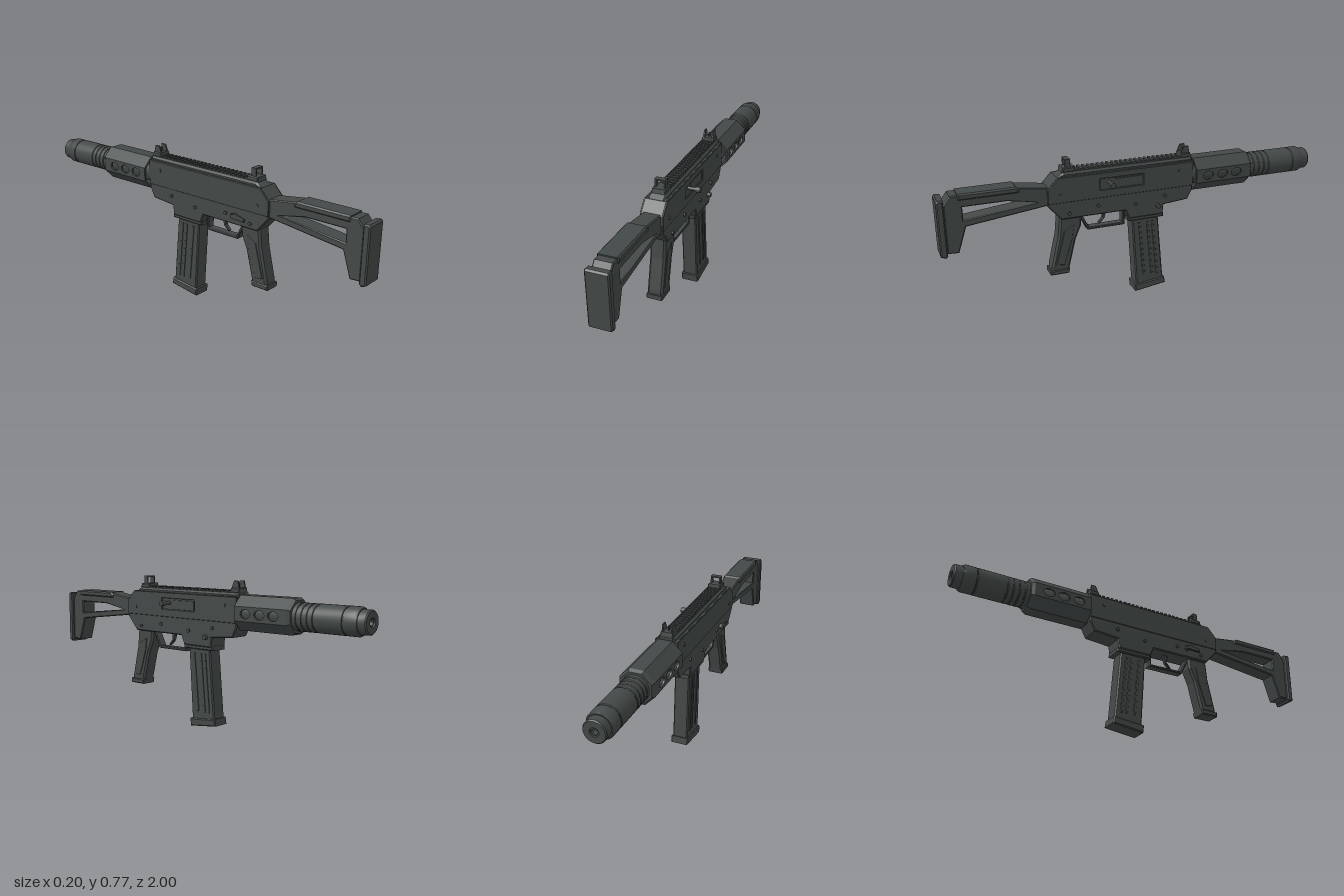
import * as THREE from 'three';
import { toCreasedNormals } from 'three/addons/utils/BufferGeometryUtils.js';

export function createModel() {
  const model = new THREE.Group();
  model.name = 'toyCarbine';
  model.position.x = -0.0155;
  const metal = new THREE.MeshStandardMaterial({ color: 0x434948 });
  metal.name = 'darkGreyMetal';

  const add = (name, geometry, parent = model) => {
    const mesh = new THREE.Mesh(geometry, metal);
    mesh.name = name;
    parent.add(mesh);
    return mesh;
  };
  const toPath = (pts, Type) => new Type(pts.map(([z, y]) => new THREE.Vector2(z, y)));
  // side outline of [z, y] points, thickened in x around the given offset
  function slab(name, pts, half, bevel = 0.006, x = 0, holes = [], parent = model) {
    const shape = toPath(pts, THREE.Shape);
    shape.holes = holes;
    const geo = new THREE.ExtrudeGeometry(shape, {
      depth: 2 * (half - bevel), bevelEnabled: bevel > 0, bevelThickness: bevel,
      bevelSize: bevel, bevelOffset: -bevel, bevelSegments: 1, curveSegments: 16,
    });
    geo.translate(0, 0, -(half - bevel)).rotateY(-Math.PI / 2).translate(x, 0, 0);
    return add(name, geo, parent);
  }
  const box = (name, w, h, d, x, y, z, parent) =>
    add(name, new THREE.BoxGeometry(w, h, d).translate(x, y, z), parent);
  // round pin pointing along x
  const pin = (name, r, x0, x1, y, z, sides = 16) =>
    add(name, new THREE.CylinderGeometry(r, r, Math.abs(x1 - x0), sides)
      .rotateZ(Math.PI / 2).translate((x0 + x1) / 2, y, z));

  // upper receiver: core with two side skins, the left one cut for the port
  const upper = [[0.475, 0.56], [0.475, 0.635], [0.425, 0.688], [-0.297, 0.688], [-0.297, 0.56]];
  const port = [[0.21, 0.60], [0.21, 0.658], [-0.02, 0.658], [-0.02, 0.60]];
  slab('receiverCore', upper, 0.051, 0);
  slab('receiverLeftSkin', upper, 0.004, 0.002, 0.0545, [toPath(port, THREE.Path)]);
  slab('receiverRightSkin', upper, 0.004, 0.002, -0.0545);
  slab('boltCover', [[0.13, 0.602], [0.13, 0.65], [-0.015, 0.65], [-0.015, 0.602]], 0.003, 0.001, 0.051);
  slab('receiverTop', [[0.43, 0.68], [0.39, 0.706], [-0.297, 0.706], [-0.297, 0.68]], 0.043, 0.01);

  // lower receiver and magazine well
  slab('lowerReceiver', [[0.475, 0.565], [0.475, 0.545], [0.41, 0.472], [0.075, 0.472], [0.055, 0.425],
    [-0.13, 0.425], [-0.135, 0.475], [-0.27, 0.487], [-0.297, 0.54], [-0.297, 0.565]], 0.0555, 0.005);
  slab('magazineWellLip', [[0.058, 0.408], [0.062, 0.43], [-0.135, 0.43], [-0.137, 0.408]], 0.05, 0.005);

  // pins mirrored on both sides
  for (const [z, y] of [[0.37, 0.50], [0.22, 0.52], [0.02, 0.50], [-0.14, 0.525], [-0.22, 0.645], [0.41, 0.60]])
    pin('receiverPin', 0.009, -0.0625, 0.0625, y, z);

  // controls
  pin('chargingHandleStem', 0.009, 0.05, 0.095, 0.635, 0.16);
  pin('chargingHandleKnob', 0.014, 0.09, 0.1155, 0.635, 0.16);
  pin('magazineRelease', 0.012, 0.05, 0.073, 0.476, -0.1);
  pin('selectorPivot', 0.013, -0.05, -0.072, 0.52, 0.28);
  slab('selectorLever', [[0.35, 0.507], [0.35, 0.522], [0.29, 0.536], [0.265, 0.53], [0.265, 0.51]], 0.006, 0.002, -0.075);

  // accessory rail
  box('railBase', 0.05, 0.02, 0.66, 0, 0.7, 0.055);
  for (let i = 0; i < 26; i++) box('railTooth', 0.062, 0.011, 0.014, 0, 0.71, 0.37 - i * 0.0252);

  // rear sight: base and square aperture
  slab('rearSightBase', [[0.395, 0.705], [0.39, 0.727], [0.33, 0.73], [0.325, 0.705]], 0.035, 0.004);
  for (const s of [-1, 1]) box('rearSightSide', 0.007, 0.042, 0.026, s * 0.0235, 0.747, 0.362);
  box('rearSightTop', 0.054, 0.007, 0.026, 0, 0.7645, 0.362);

  // front sight: base, two ears and a post
  slab('frontSightBase', [[-0.235, 0.705], [-0.24, 0.729], [-0.29, 0.729], [-0.295, 0.705]], 0.033, 0.004);
  for (const s of [-1, 1])
    slab('frontSightEar', [[-0.238, 0.725], [-0.255, 0.764], [-0.28, 0.764], [-0.288, 0.725]], 0.004, 0.001, s * 0.023);
  box('frontSightPost', 0.006, 0.03, 0.01, 0, 0.737, -0.265);

  // eight-sided barrel shroud, its side faces cut with oval vents
  const shroud = new THREE.Group();
  shroud.name = 'barrelShroud';
  shroud.position.y = 0.612;
  model.add(shroud);
  const apothem = 0.0855, edge = apothem * Math.tan(Math.PI / 8);
  for (let k = 0; k < 8; k++) {
    const vents = k % 4 ? [] : [-0.372, -0.455, -0.535].map(z =>
      new THREE.Path().absellipse(z, 0, 0.03, 0.022, 0, Math.PI * 2));
    const face = slab('shroudFace', [[-0.305, -edge], [-0.305, edge], [-0.61, edge], [-0.61, -edge]],
      0.005, 0, apothem - 0.005, vents, shroud);
    face.rotation.z = k * Math.PI / 4;
  }
  const corner = 1 / Math.cos(Math.PI / 8);
  const cap = new THREE.CylinderGeometry(apothem * corner, 0.076 * corner, 0.016, 8, 1, false, Math.PI / 8);
  add('shroudFrontCap', toCreasedNormals(cap.rotateX(Math.PI / 2), 0.3).translate(0, 0, -0.618), shroud);

  // barrel and suppressor turned as one profile, with grooves and an open bore
  const profile = [[0, 0.29], [0.058, 0.29], [0.058, 0.6], [0.067, 0.6]];
  for (const d of [0.645, 0.675, 0.705, 0.735, 0.885])
    profile.push([0.067, d], [0.064, d + 0.002], [0.064, d + 0.007], [0.067, d + 0.009]);
  profile.push([0.067, 0.945], [0.061, 0.957], [0.056, 0.957], [0.056, 0.994], [0.051, 1],
    [0.022, 1], [0.02, 0.994], [0.014, 0.994], [0.014, 0.9], [0, 0.9]);
  const turned = new THREE.LatheGeometry(profile.map(([r, d]) => new THREE.Vector2(r, d)), 32);
  add('suppressor', toCreasedNormals(turned.rotateX(-Math.PI / 2), 0.5).translate(0, 0.612, 0));

  // shoulder stock with an open triangle
  const opening = toPath([[0.88, 0.602], [0.67, 0.602], [0.52, 0.575], [0.88, 0.537]], THREE.Path);
  slab('stockFrame', [[0.967, 0.378], [0.967, 0.62], [0.935, 0.662], [0.62, 0.662], [0.46, 0.64],
    [0.46, 0.552], [0.87, 0.503], [0.912, 0.375]], 0.045, 0.005, 0, [opening]);
  slab('stockCheekRest', [[0.9, 0.637], [0.9, 0.668], [0.625, 0.668], [0.61, 0.655], [0.61, 0.637]], 0.051, 0.007);
  slab('stockPad', [[1, 0.37], [1, 0.642], [0.992, 0.65], [0.966, 0.648], [0.966, 0.372], [0.975, 0.36]], 0.057, 0.006);

  // pistol grip
  slab('grip', [[0.415, 0.48], [0.3, 0.48], [0.305, 0.42], [0.335, 0.35], [0.375, 0.19],
    [0.465, 0.19], [0.462, 0.22], [0.425, 0.38]], 0.04, 0.01);
  slab('gripFoot', [[0.472, 0.173], [0.472, 0.198], [0.372, 0.2], [0.377, 0.173]], 0.043, 0.005);
  for (const s of [-1, 1])
    slab('gripPanel', [[0.345, 0.432], [0.395, 0.405], [0.442, 0.228], [0.4, 0.222], [0.355, 0.36]], 0.003, 0.002, s * 0.04);

  // trigger and guard
  slab('triggerGuard', [[0.312, 0.475], [0.267, 0.384], [0.068, 0.384], [0.068, 0.475], [0.08, 0.475],
    [0.08, 0.397], [0.258, 0.397], [0.298, 0.475]], 0.022, 0.003);
  slab('trigger', [[0.185, 0.48], [0.182, 0.435], [0.207, 0.408], [0.2, 0.404], [0.172, 0.43], [0.16, 0.48]], 0.01, 0.002);

  // magazine, side ribs and base plate
  slab('magazine', [[0.035, 0.44], [-0.108, 0.44], [-0.142, 0.05], [0.01, 0.035]], 0.04, 0.006);
  for (const s of [-1, 1]) for (const z of [-0.005, -0.05, -0.078])
    slab('magazineRib', [[z + 0.006, 0.39], [z - 0.006, 0.39], [z - 0.034, 0.085], [z - 0.022, 0.085]], 0.003, 0.001, s * 0.04);
  slab('magazineBase', [[0.021, 0.04], [-0.148, 0.058], [-0.154, 0.022], [0.016, 0]], 0.047, 0.005);

  return model;
}
